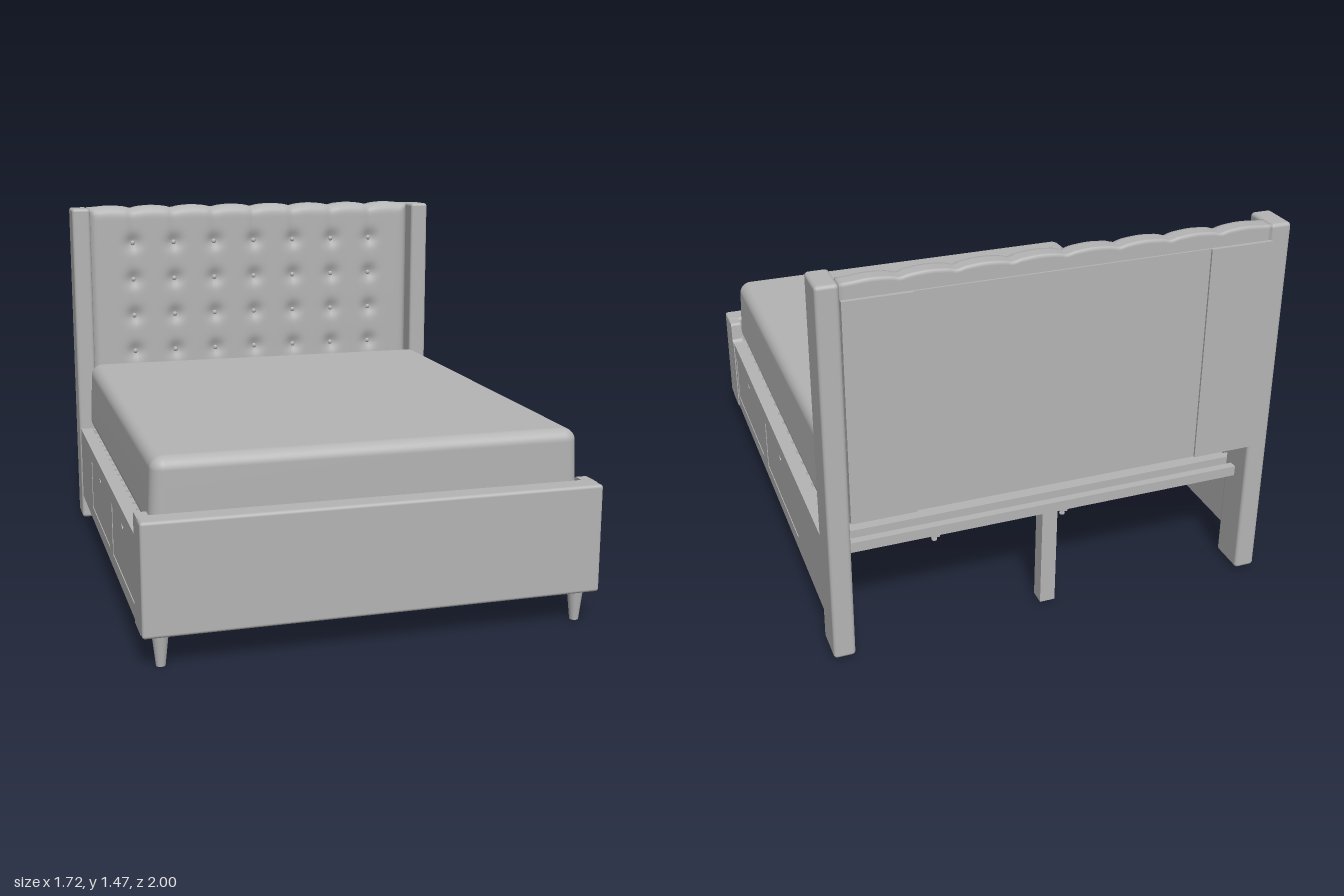
import * as THREE from 'three';
import { mergeVertices } from 'three/addons/utils/BufferGeometryUtils.js';
import { RoundedBoxGeometry } from 'three/addons/geometries/RoundedBoxGeometry.js';

const fabric = new THREE.MeshStandardMaterial({ color: 0xb4b4b4 });
fabric.name = 'grey fabric';

const BUTTON_X = [-3, -2, -1, 0, 1, 2, 3].map(i => i * 0.193);
const BUTTON_Y = [1.3, 1.13, 0.96, 0.79, 0.62];

function add(parent, name, geometry, x = 0, y = 0, z = 0) {
  const mesh = new THREE.Mesh(geometry, fabric);
  mesh.name = name;
  mesh.position.set(x, y, z);
  parent.add(mesh);
  return mesh;
}

// Box given by its two extreme corners, optionally with rounded edges
function block(parent, name, [x0, y0, z0], [x1, y1, z1], r = 0) {
  const size = [x1 - x0, y1 - y0, z1 - z0];
  const geo = r ? new RoundedBoxGeometry(...size, 3, r) : new THREE.BoxGeometry(...size);
  return add(parent, name, geo, (x0 + x1) / 2, (y0 + y1) / 2, (z0 + z1) / 2);
}

// Extrudes a side profile drawn in (z, y) from x0 to x1
function sidePlate(parent, name, shape, x0, x1) {
  const geo = new THREE.ExtrudeGeometry(shape, { depth: x1 - x0, bevelEnabled: false, curveSegments: 8 });
  geo.rotateY(-Math.PI / 2);
  return add(parent, name, geo, x1, 0, 0);
}

function polygon(points, Type = THREE.Shape) {
  return new Type(points.map(p => new THREE.Vector2(...p)));
}

function smooth(geo) {
  geo.deleteAttribute('normal');
  geo.deleteAttribute('uv');
  const merged = mergeVertices(geo, 1e-5);
  merged.computeVertexNormals();
  return merged;
}

// Buttoned cushion: box with rounded rim, dimples at buttons and soft folds
function tuftedCushion() {
  const w = 1.56, h = 0.885, d = 0.095, yMid = 0.58 + h / 2;
  const geo = smooth(new THREE.BoxGeometry(w, h, d, 112, 72, 5));
  const p = geo.attributes.position;
  const rim = distance => {
    const k = Math.max(0, 1 - distance / 0.05);
    return 1 - Math.sqrt(1 - k * k);
  };
  for (let i = 0; i < p.count; i++) {
    const x = p.getX(i), y = p.getY(i) + yMid, front = p.getZ(i) / d + 0.5;
    const topDistance = h / 2 + yMid - y;
    let push = 0.035 * Math.max(rim(w / 2 - Math.abs(x)), rim(topDistance), rim(y - 0.58));
    let crease = 0;
    for (const bx of BUTTON_X) {
      const dx = x - bx;
      crease = Math.max(crease, Math.exp(-((dx / 0.018) ** 2)));
      for (const by of BUTTON_Y) {
        const r2 = dx * dx + (y - by) ** 2;
        push += 0.018 * Math.exp(-r2 / 0.0012);
      }
    }
    push += 0.006 * crease * (y > 1.3 ? 1 : 0.5);
    p.setZ(i, p.getZ(i) - push * front);
    // gentle scallops along the upper edge
    const top = Math.max(0, 1 - topDistance / 0.1);
    const scallop = 0.006 * (Math.cos((x / 0.193 - 0.5) * Math.PI * 2) + 1) / 2;
    p.setY(i, p.getY(i) + top * (scallop - 0.006 * crease));
  }
  geo.computeVertexNormals();
  return geo.translate(0, yMid, -0.9375);
}

function headboard() {
  const g = new THREE.Group();
  g.name = 'headboard';
  add(g, 'tuftedCushion', tuftedCushion());
  const button = new THREE.SphereGeometry(0.011, 12, 8).scale(1, 1, 0.6);
  for (const x of BUTTON_X) for (const y of BUTTON_Y) add(g, 'button', button, x, y, -0.909);
  block(g, 'backPanel', [-0.54, 0.58, -0.992], [0.54, 1.41, -0.975]);
  for (const s of [-1, 1]) {
    const panel = block(g, 'backSidePanel', [-0.12, 0.58, -1], [0.12, 1.41, -0.975]);
    panel.position.x = s * 0.66;
    const wing = block(g, 'wingPost', [-0.0405, 0.01, -0.985], [0.0405, 1.465, -0.838], 0.014);
    wing.position.x = s * 0.8195;
  }
  block(g, 'lowerRail', [-0.79, 0.4, -0.91], [0.79, 0.44, -0.88]);
  block(g, 'rearCenterLeg', [-0.03, 0, -0.91], [0.03, 0.4, -0.85]);
  return g;
}

function mattress() {
  const geo = smooth(new RoundedBoxGeometry(1.625, 0.305, 1.735, 6, 0.05));
  const p = geo.attributes.position;
  for (let i = 0; i < p.count; i++) {
    const up = p.getY(i) / 0.305 + 0.5;
    // top rises toward the headboard and draws in slightly
    p.setY(i, p.getY(i) - up * 0.014 * (1 + p.getZ(i) / 0.87));
    p.setX(i, p.getX(i) * (1 - 0.015 * up));
  }
  geo.computeVertexNormals();
  return geo.translate(0, 0.6025, 0.0375);
}

const DRAWERS = [[0.23, 0.8], [-0.43, 0.145]];

function drawerShape(z0, z1, gap, Type) {
  const m = (z0 + z1) / 2, lo = 0.175 + gap, hi = 0.385 - gap;
  return polygon([[z0 + gap, lo], [z1 - gap, lo], [z1 - gap, hi], [m + 0.03, hi],
    [m, hi - 0.016], [m - 0.03, hi], [z0 + gap, hi]], Type);
}

// One side of the base: rail with two drawer openings, drawers, footboard return
function baseSide(s) {
  const g = new THREE.Group();
  g.name = s > 0 ? 'leftSide' : 'rightSide';
  const span = (a, b) => s > 0 ? [a, b] : [-b, -a];
  const rail = polygon([[-0.83, 0.12], [0.9, 0.12], [0.9, 0.445], [-0.83, 0.445]]);
  for (const [z0, z1] of DRAWERS) rail.holes.push(polygon(
    [[z0, 0.175], [z0, 0.385], [z1, 0.385], [z1, 0.175]], THREE.Path));
  sidePlate(g, 'sideRail', rail, ...span(0.805, 0.855));
  for (const [z0, z1] of DRAWERS) {
    sidePlate(g, 'drawerFront', drawerShape(z0, z1, 0.004), ...span(0.82, 0.853));
    const [a, b] = span(0.38, 0.825);
    block(g, 'drawerBox', [a, 0.178, z0 + 0.01], [b, 0.365, z1 - 0.01]);
  }
  const end = new THREE.Shape();
  end.moveTo(0.95, 0.12);
  end.lineTo(0.95, 0.533);
  end.lineTo(0.865, 0.533);
  end.quadraticCurveTo(0.855, 0.533, 0.853, 0.52);
  end.lineTo(0.848, 0.46);
  end.quadraticCurveTo(0.846, 0.446, 0.825, 0.445);
  end.lineTo(0.825, 0.12);
  sidePlate(g, 'footboardReturn', end, ...span(0.815, 0.859));
  const [a, b] = span(0.765, 0.806);
  block(g, 'slatLedger', [a, 0.37, -0.82], [b, 0.4, 0.91]);
  // tapered round foot
  add(g, 'frontLeg', new THREE.CylinderGeometry(0.031, 0.017, 0.125, 20), s * 0.79, 0.0625, 0.942);
  return g;
}

function base() {
  const g = new THREE.Group();
  g.name = 'base';
  g.add(baseSide(1), baseSide(-1));
  block(g, 'footboard', [-0.86, 0.12, 0.905], [0.86, 0.535, 1], 0.012);
  block(g, 'rearRail', [-0.81, 0.37, -0.835], [0.81, 0.44, -0.805]);
  for (let i = 0; i < 20; i++) {
    const z = -0.76 + i * 0.085;
    block(g, 'slat', [-0.8, 0.4, z - 0.03], [0.8, 0.425, z + 0.03]);
  }
  // support legs with small levelling feet
  for (const [x, z] of [[-0.295, -0.375], [0.28, -0.375], [0, 0.09]]) {
    block(g, 'supportLeg', [x - 0.018, 0.02, z - 0.018], [x + 0.018, 0.4, z + 0.018]);
    add(g, 'levellingStem', new THREE.CylinderGeometry(0.005, 0.005, 0.02, 10), x, 0.013, z);
    add(g, 'levellingFoot', new THREE.CylinderGeometry(0.012, 0.012, 0.006, 14), x, 0.003, z);
  }
  return g;
}

export function createModel() {
  const bed = new THREE.Group();
  bed.name = 'bed';
  bed.add(headboard(), base());
  add(bed, 'mattress', mattress());
  return bed;
}
